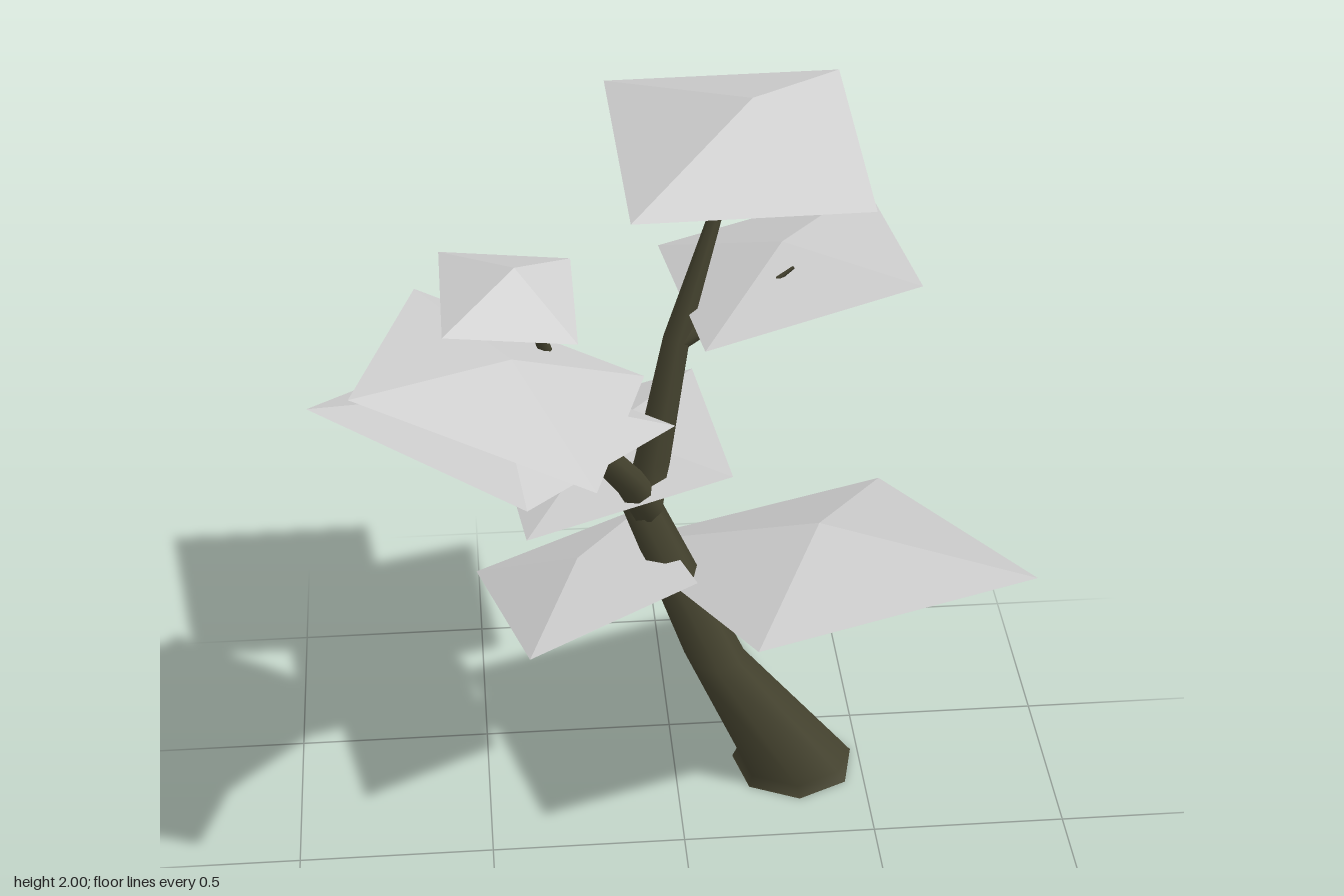
import * as THREE from 'three';

const SIDES = 7;

// Tapered limb through points [x, y, z, radius]; level keeps its rings horizontal
function limbGeometry(points, level = false) {
  const centres = points.map(p => new THREE.Vector3(p[0], p[1], p[2]));
  const last = points.length - 1;
  const pos = [], index = [];
  centres.forEach((c, i) => {
    const t = level
      ? new THREE.Vector3(0, 1, 0)
      : centres[Math.min(i + 1, last)].clone().sub(centres[Math.max(i - 1, 0)]).normalize();
    const u = new THREE.Vector3(0, 0, 1).addScaledVector(t, -t.z).normalize();
    const v = t.clone().cross(u);
    for (let j = 0; j < SIDES; j++) {
      const a = (j / SIDES) * Math.PI * 2;
      const p = c.clone()
        .addScaledVector(u, Math.cos(a) * points[i][3])
        .addScaledVector(v, Math.sin(a) * points[i][3]);
      pos.push(p.x, p.y, p.z);
    }
  });
  for (let i = 0; i < last; i++) {
    for (let j = 0; j < SIDES; j++) {
      const k = (j + 1) % SIDES;
      const a = i * SIDES + j, b = i * SIDES + k;
      index.push(a, b, a + SIDES, b, b + SIDES, a + SIDES);
    }
  }
  const g = new THREE.BufferGeometry();
  g.setAttribute('position', new THREE.Float32BufferAttribute(pos, 3));
  g.setIndex(index);
  g.computeVertexNormals();
  return g;
}

// Open four-sided pyramid: apex plus corners running clockwise from above
function canopyGeometry(apex, corners) {
  const pos = [];
  corners.forEach((c, i) => pos.push(...apex, ...corners[(i + 1) % 4], ...c));
  const g = new THREE.BufferGeometry();
  g.setAttribute('position', new THREE.Float32BufferAttribute(pos, 3));
  g.computeVertexNormals();
  return g;
}

export function createModel() {
  const bark = new THREE.MeshStandardMaterial({ color: 0x45432f, side: THREE.DoubleSide });
  bark.name = 'bark';
  const leaf = new THREE.MeshStandardMaterial({ color: 0xcecece, side: THREE.DoubleSide, flatShading: true });
  leaf.name = 'paleLeaf';

  const tree = new THREE.Group();
  tree.name = 'tree';
  const add = (name, geometry, material) => {
    const mesh = new THREE.Mesh(geometry, material);
    mesh.name = name;
    tree.add(mesh);
  };

  // Leaning trunk that continues into the tall right-hand fork
  add('trunk', limbGeometry([
    [0.32, 0, -0.31, 0.165], [0.315, 0.03, -0.308, 0.148], [0.1, 0.41, -0.25, 0.08],
    [-0.09, 0.92, -0.185, 0.054], [-0.062, 1.06, -0.19, 0.046], [0, 1.39, -0.215, 0.034],
    [0.135, 1.83, -0.26, 0.012], [0.16, 1.92, -0.27, 0.004],
  ], true), bark);

  // Underside of the trunk
  const base = new THREE.CircleGeometry(0.165, SIDES);
  base.rotateX(Math.PI / 2).rotateY(-Math.PI / 2).translate(0.32, 0.002, -0.31);
  add('trunkBase', base, bark);

  // Limbs and twigs carrying the canopies
  const limbs = {
    leftFork: [[-0.08, 0.93, -0.17, 0.045], [-0.13, 1.05, -0.11, 0.04], [-0.24, 1.25, 0.02, 0.032],
      [-0.31, 1.41, 0.1, 0.025], [-0.335, 1.6, 0.19, 0.017], [-0.37, 1.77, 0.28, 0.008], [-0.4, 1.85, 0.3, 0.003]],
    upperLeftTwig: [[-0.28, 1.34, 0.06, 0.022], [-0.36, 1.5, 0.14, 0.014], [-0.44, 1.65, 0.24, 0.004]],
    middleLeftTwig: [[-0.21, 1.19, -0.02, 0.026], [-0.35, 1.31, -0.02, 0.015], [-0.5, 1.41, -0.01, 0.004]],
    upperRightTwig: [[-0.01, 1.37, -0.21, 0.025], [0.14, 1.46, -0.21, 0.014], [0.28, 1.57, -0.21, 0.004]],
    backTwig: [[-0.09, 0.9, -0.18, 0.028], [-0.135, 0.98, -0.31, 0.016], [-0.18, 1.05, -0.43, 0.004]],
    lowerLeftTwig: [[-0.02, 0.7, -0.22, 0.026], [-0.13, 0.73, -0.21, 0.015], [-0.25, 0.755, -0.2, 0.004]],
    lowerRightTwig: [[0.03, 0.59, -0.235, 0.034], [0.2, 0.68, -0.23, 0.02], [0.42, 0.785, -0.22, 0.004]],
  };
  for (const [name, points] of Object.entries(limbs)) add(name, limbGeometry(points), bark);

  // Canopies: apex, then four corners
  const canopies = {
    topCanopy: [[0.18, 2, -0.25],
      [[-0.15, 1.92, -0.545], [0.425, 1.92, -0.56], [0.445, 1.82, 0], [-0.125, 1.82, 0.015]]],
    upperRightCanopy: [[0.265, 1.58, -0.325],
      [[-0.02, 1.46, -0.555], [0.51, 1.57, -0.62], [0.575, 1.57, -0.09], [0.05, 1.46, -0.015]]],
    smallTopCanopy: [[-0.4, 1.87, 0.29],
      [[-0.565, 1.83, 0.127], [-0.27, 1.8, 0.127], [-0.27, 1.747, 0.425], [-0.565, 1.777, 0.425]]],
    upperLeftCanopy: [[-0.415, 1.685, 0.37],
      [[-0.625, 1.68, 0.02], [-0.108, 1.51, 0.17], [-0.25, 1.55, 0.72], [-0.77, 1.72, 0.573]]],
    middleLeftCanopy: [[-0.44, 1.43, 0.075],
      [[-0.512, 1.31, -0.35], [-0.02, 1.25, -0.03], [-0.395, 1.385, 0.525], [-0.885, 1.44, 0.135]]],
    backCanopy: [[-0.172, 1.05, -0.355],
      [[-0.45, 0.93, -0.59], [0.075, 1.04, -0.655], [0.13, 1.04, -0.12], [-0.385, 0.93, -0.045]]],
    lowerLeftCanopy: [[-0.255, 0.775, -0.19],
      [[-0.51, 0.63, -0.365], [-0.075, 0.735, -0.47], [0.035, 0.79, -0.03], [-0.39, 0.675, 0.1]]],
    lowerRightCanopy: [[0.365, 0.81, -0.245],
      [[0.59, 0.63, -0.725], [0.88, 0.79, 0.02], [0.155, 0.79, 0.275], [-0.135, 0.63, -0.47]]],
  };
  for (const [name, [apex, corners]] of Object.entries(canopies)) {
    add(name, canopyGeometry(apex, corners), leaf);
  }
  return tree;
}
